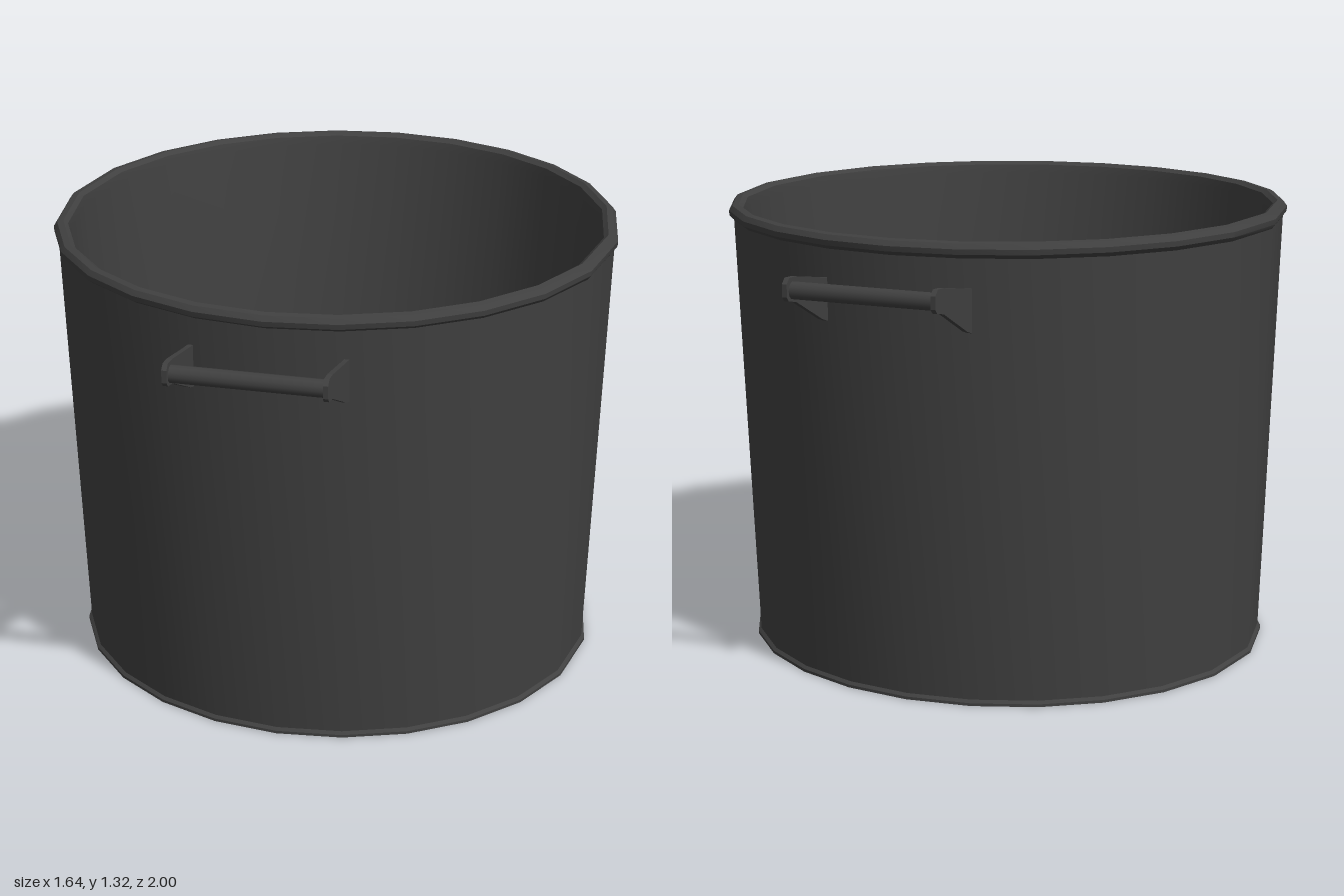
import * as THREE from 'three';
import { toCreasedNormals } from 'three/addons/utils/BufferGeometryUtils.js';

const material = new THREE.MeshStandardMaterial({ color: 0x404040 });

function addMesh(parent, name, geometry) {
  const mesh = new THREE.Mesh(geometry, material);
  mesh.name = name;
  parent.add(mesh);
  return mesh;
}

// Closed or open ring surface from [x radius, z radius, height] steps,
// slightly oval, with 24 sides of uneven width
function ovalLathe(steps) {
  const quarter = [0, 14, 28, 42, 56.5, 72];
  const geo = new THREE.LatheGeometry(steps.map(([r, , y]) => new THREE.Vector2(r, y)), 24);
  const pos = geo.attributes.position;
  for (let i = 0; i < pos.count; i++) {
    const side = Math.floor(i / steps.length) % 24;
    const [rx, rz, y] = steps[i % steps.length];
    // alternate quarters run mirrored so the sides match on both axes
    const q = Math.floor(side / 6), k = side % 6;
    const local = q % 2 === 0 ? quarter[k] : (k === 0 ? 0 : 90 - quarter[6 - k]);
    const a = THREE.MathUtils.degToRad(q * 90 + local);
    pos.setXYZ(i, rx * Math.sin(a), y, rz * Math.cos(a));
  }
  return toCreasedNormals(geo, THREE.MathUtils.degToRad(32));
}

// Two tapering side plates with a round grip between them, facing +z
function makeHandle(name) {
  const handle = new THREE.Group();
  handle.name = name;

  const outline = new THREE.Shape([
    [0.77, 1.07], [0.8, 1.08], [0.95, 1.155], [0.99, 1.163], [1.0, 1.175],
    [1.0, 1.21], [0.985, 1.225], [0.95, 1.223], [0.8, 1.195], [0.77, 1.19],
  ].map(([z, y]) => new THREE.Vector2(-z, y)));
  for (const side of [-1, 1]) {
    const geo = new THREE.ExtrudeGeometry(outline, { depth: 0.014, bevelEnabled: false });
    geo.translate(0, 0, -0.007);
    geo.rotateY(Math.PI / 2);
    const plate = addMesh(handle, side < 0 ? 'rightPlate' : 'leftPlate', geo);
    plate.position.x = side * 0.213;
  }

  const grip = addMesh(handle, 'grip', new THREE.CylinderGeometry(0.024, 0.024, 0.42, 12));
  grip.rotation.z = Math.PI / 2;
  grip.position.set(0, 1.189, 0.966);
  return handle;
}

export function createModel() {
  const model = new THREE.Group();
  model.name = 'pot';

  // Tapered body: underside, foot lip, outer wall, rolled rim, inner wall, floor
  addMesh(model, 'body', ovalLathe([
    [0, 0, 0],
    [0.778, 0.74, 0],
    [0.778, 0.74, 0.008],
    [0.769, 0.732, 0.016],
    [0.808, 0.802, 1.27],
    [0.817, 0.825, 1.283],
    [0.818, 0.828, 1.298],
    [0.808, 0.818, 1.312],
    [0.79, 0.8, 1.315],
    [0.777, 0.785, 1.305],
    [0.774, 0.778, 1.28],
    [0.722, 0.682, 0.03],
    [0, 0, 0.03],
  ]));

  const front = makeHandle('frontHandle');
  const back = makeHandle('backHandle');
  back.rotation.y = Math.PI;
  model.add(front, back);
  return model;
}
